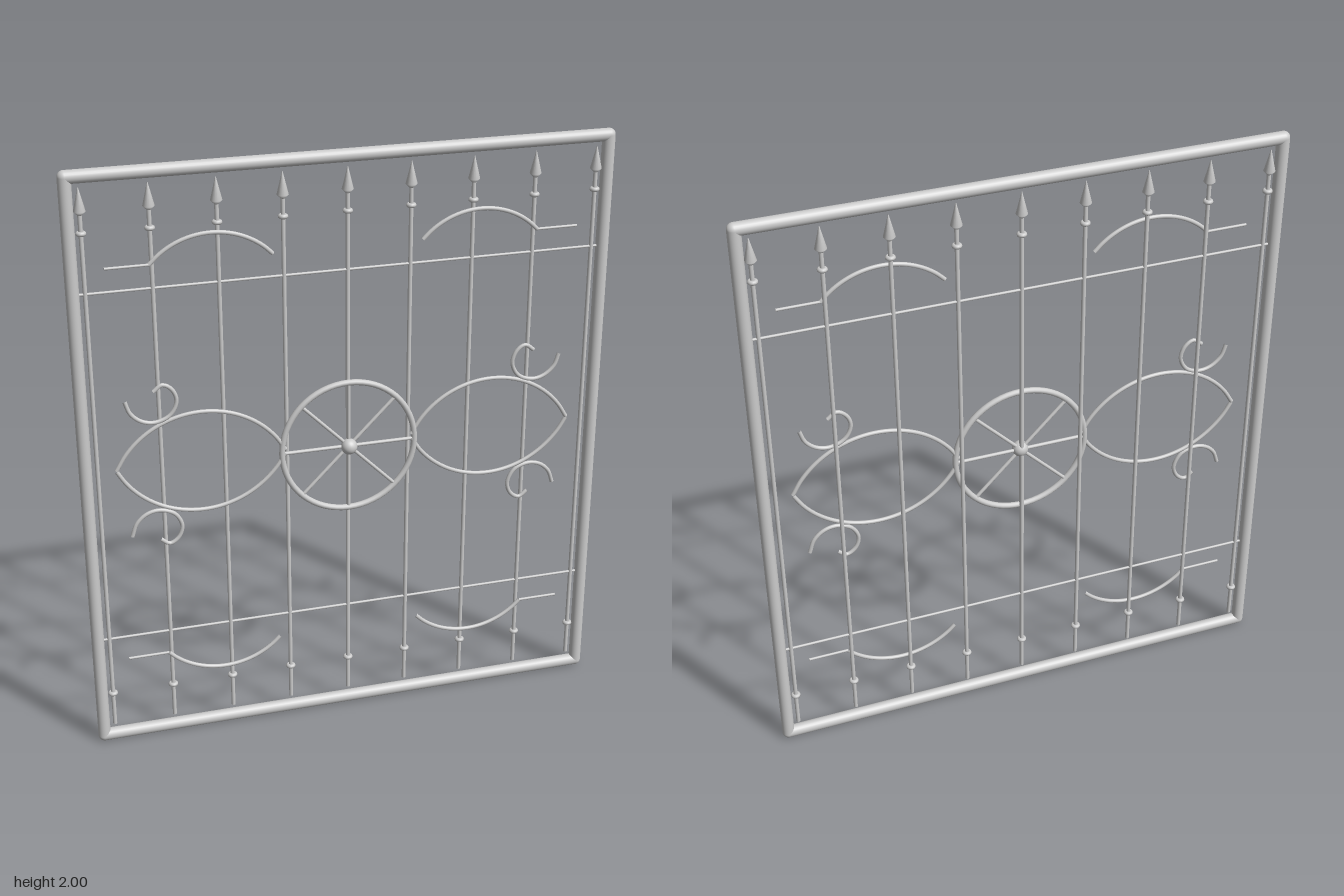
import * as THREE from 'three';

export function createModel() {
  const model = new THREE.Group();
  model.name = 'windowGrille';
  const iron = new THREE.MeshStandardMaterial({ color: 0xcccccc });
  iron.name = 'lightGreyIron';
  const Z = -0.011; // plane of the frame and bars
  const FRONT = 0; // plane of the ornaments, just ahead of the bars
  const MID = 1.0025; // height of the wheel centre

  const add = (name, geometry, x, y, z) => {
    const mesh = new THREE.Mesh(geometry, iron);
    mesh.name = name;
    mesh.position.set(x, y, z);
    model.add(mesh);
    return mesh;
  };
  const rod = (name, radius, length, x, y, z, angle = 0) => {
    const sides = radius > 0.02 ? 24 : 12;
    add(name, new THREE.CylinderGeometry(radius, radius, length, sides), x, y, z).rotation.z = angle;
  };
  const wire = (name, points, radius) => {
    const curve = new THREE.CatmullRomCurve3(points.map(([x, y]) => new THREE.Vector3(x, y, 0)));
    add(name, new THREE.TubeGeometry(curve, 40, radius, 8), 0, 0, FRONT);
  };
  // Points on a circular arc between two angles
  const arc = (cx, cy, r, from, to) => Array.from({ length: 13 }, (_, i) => {
    const a = from + (to - from) * i / 12;
    return [cx + r * Math.cos(a), cy + r * Math.sin(a)];
  });

  // Outer frame: round tubes with rounded corners
  const R = 0.021, W = 0.865, H = 0.979;
  const corner = new THREE.SphereGeometry(R, 24, 16);
  for (const s of [1, -1]) {
    rod('frameSide', R, 2 * H, s * W, 1, Z);
    rod(s > 0 ? 'frameTop' : 'frameBottom', R, 2 * W, 0, 1 + s * H, Z, Math.PI / 2);
    for (const t of [1, -1]) add('frameCorner', corner, s * W, 1 + t * H, Z);
  }

  // Upright bars with spear points and ring collars
  const spear = new THREE.LatheGeometry(
    [[0.007, 0], [0.019, 0.012], [0.001, 0.085]].map(([x, y]) => new THREE.Vector2(x, y)), 16);
  const collar = new THREE.TorusGeometry(0.009, 0.0075, 10, 16).rotateX(Math.PI / 2);
  for (let i = -4; i <= 4; i++) {
    const x = i * 0.2066;
    rod('uprightBar', 0.007, 1.81, x, 0.965, Z);
    add('spearPoint', spear, x, 1.86, Z);
    add('upperCollar', collar, x, 1.803, Z);
    add('lowerCollar', collar, x, 0.182, Z);
  }

  // Cross rails
  for (const y of [1.611, 0.394]) rod('crossRail', 0.0045, 1.71, 0, y, Z, Math.PI / 2);

  // Central wheel
  add('wheelRim', new THREE.TorusGeometry(0.226, 0.01, 12, 64), 0, MID, FRONT);
  for (let i = 0; i < 4; i++) rod('wheelSpoke', 0.006, 0.45, 0, MID, FRONT, i * Math.PI / 4);
  add('wheelHub', new THREE.SphereGeometry(0.027, 24, 16), 0, MID, 0.005);

  // Curved ornaments, mirrored left/right and top/bottom
  const scroll = [[0.73, 1.25], [0.713, 1.205], [0.678, 1.175], [0.635, 1.167], [0.587, 1.187],
    [0.565, 1.232], [0.578, 1.273], [0.608, 1.292], [0.638, 1.272]];
  const eyeArc = arc(0.49, 0.876, 0.31, 0.46, Math.PI - 0.48);
  const crest = arc(0.437, 1.513, 0.262, 0.743, Math.PI - 0.743);
  for (const s of [1, -1]) {
    for (const up of [true, false]) {
      const place = (points, mid) => points.map(([x, y]) => [s * x, up ? y : 2 * mid - y]);
      wire('eyeArc', place(eyeArc, 1.0125), 0.007);
      wire('scroll', place(scroll, 1.011), 0.007);
      wire('crestArc', place(crest, MID), 0.007);
      rod('crestTail', 0.0045, 0.137, s * 0.698, up ? 1.69 : 2 * MID - 1.69, FRONT, Math.PI / 2);
    }
  }
  return model;
}
